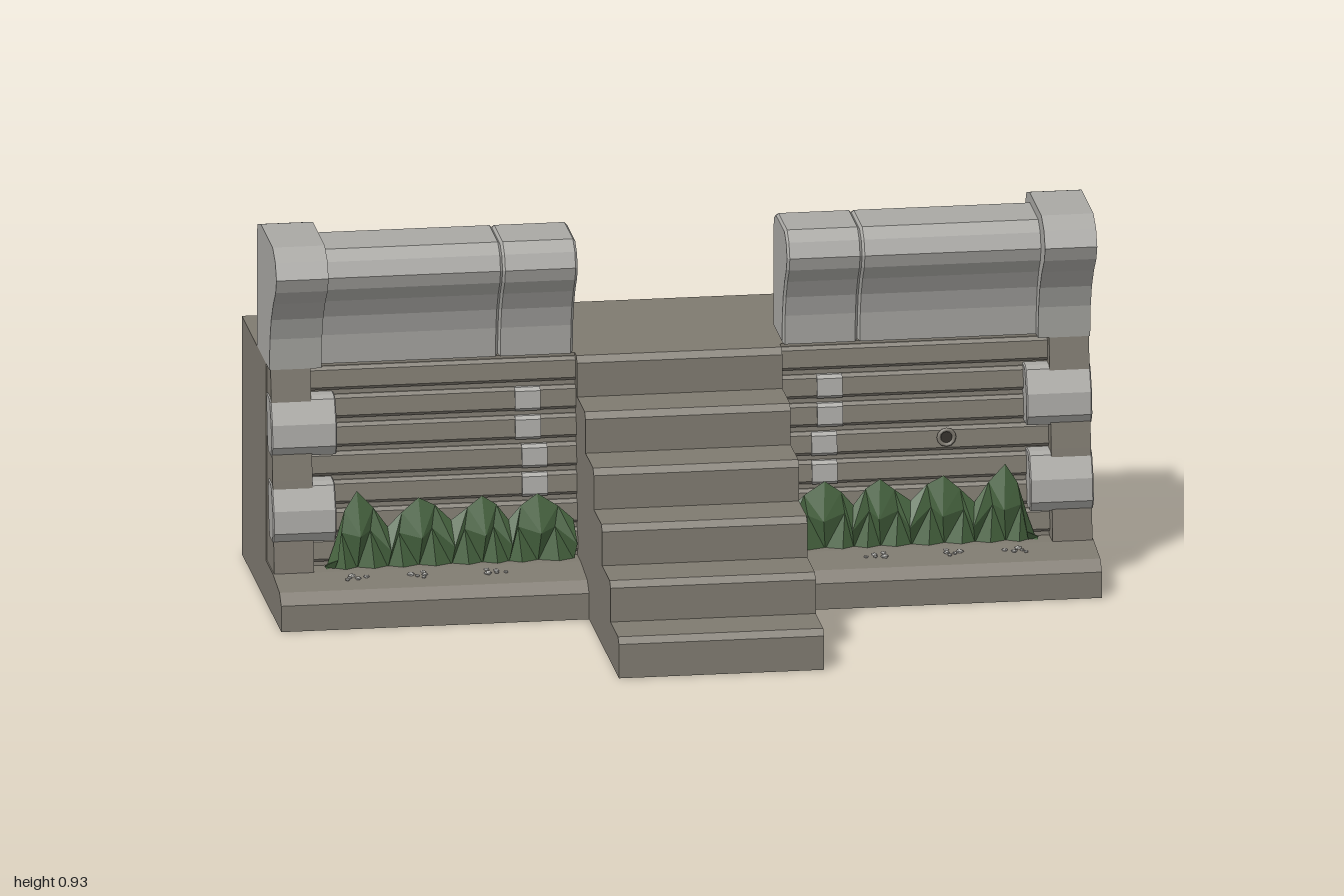
import * as THREE from 'three';

const mat = (name, color, side = THREE.FrontSide) => {
  const m = new THREE.MeshStandardMaterial({ color, side });
  m.name = name;
  return m;
};

export function createModel() {
  const stone = mat('taupe stone', 0x7f7a70);
  const pale = mat('pale stone', 0xa9a8a4);
  const green = mat('leaf green', 0x46633f, THREE.DoubleSide);
  const dark = mat('drain dark', 0x35322d);
  const model = new THREE.Group();
  model.name = 'gardenStairs';

  const add = (parent, name, geometry, material) => {
    const mesh = new THREE.Mesh(geometry, material);
    mesh.name = name;
    parent.add(mesh);
    return mesh;
  };

  // Extrude a [z, y] profile along x, between two x positions in either order
  const extrudeX = (pts, xa, xb, bevel = 0) => {
    const x0 = Math.min(xa, xb), x1 = Math.max(xa, xb);
    const shape = new THREE.Shape(pts.map(([z, y]) => new THREE.Vector2(-z, y)));
    const g = new THREE.ExtrudeGeometry(shape, {
      depth: x1 - x0 - 2 * bevel, bevelEnabled: bevel > 0, bevelThickness: bevel,
      bevelSize: bevel, bevelOffset: -bevel, bevelSegments: 1,
    });
    return g.rotateY(Math.PI / 2).translate(x0 + bevel, 0, 0);
  };

  // Terrace block behind the wall
  const back = -0.18;
  add(model, 'terrace', extrudeX([[-0.58, 0], [back, 0], [back, 0.6], [-0.58, 0.6]], -1, 1), stone);

  // Six steps with chamfered nosings
  const steps = [[back, 0]];
  for (let i = 0; i < 6; i++) {
    const z = 0.58 - i * 0.14, y = i * 0.1;
    steps.push([z, y], [z, y + 0.085], [z - 0.015, y + 0.1]);
  }
  steps.push([back, 0.6]);
  add(model, 'stairs', extrudeX(steps, -0.25, 0.25), stone);

  // Profiles
  const ledge = [[back, 0], [0.08, 0], [0.08, 0.065], [0.05, 0.09], [-0.06, 0.104], [back, 0.104]];
  const pillar = [[back, 0.1], [-0.06, 0.1], [-0.07, 0.2], [-0.085, 0.33], [-0.1, 0.45], [-0.12, 0.6], [back, 0.6]];
  const endCap = [[-0.33, 0.6], [-0.33, 0.885], [-0.315, 0.91], [-0.265, 0.925], [-0.065, 0.925], [-0.02, 0.9],
    [0, 0.86], [-0.015, 0.825], [-0.055, 0.785], [-0.09, 0.735], [-0.11, 0.68], [-0.12, 0.6]];
  const coping = endCap.map(([z, y]) => [-0.305 + (z + 0.33) * 0.712, 0.6 + (y - 0.6) * 0.923]);
  const lowQuoin = [[-0.07, 0.18], [-0.055, 0.205], [-0.06, 0.26], [-0.085, 0.315], [-0.1, 0.322],
    [-0.14, 0.322], [-0.143, 0.29], [-0.13, 0.2], [-0.115, 0.18]];
  const highQuoin = lowQuoin.map(([z, y]) => [z - 0.026, y + 0.209]);

  // Sloping wall face and its horizontal courses
  const wallZ = (y) => -0.105 - (y - 0.1) * 0.09;
  const course = (i, proud) => {
    const y0 = 0.115 + i * 0.07, y1 = y0 + 0.058, c = 0.008;
    return [[back, y0], [wallZ(y0) + proud - c, y0], [wallZ(y0) + proud, y0 + c],
      [wallZ(y1) + proud, y1 - c], [wallZ(y1) + proud - c, y1], [back, y1]];
  };

  // Leaf outline: [x, peak height]
  const leaves = [[0.262, 0.2], [0.3, 0.235], [0.35, 0.268], [0.39, 0.24], [0.42, 0.205], [0.45, 0.245],
    [0.485, 0.268], [0.52, 0.24], [0.56, 0.21], [0.6, 0.25], [0.64, 0.27], [0.68, 0.235], [0.715, 0.2],
    [0.75, 0.25], [0.79, 0.293], [0.82, 0.245], [0.845, 0.16], [0.862, 0.112]];

  // Folded sheet of foliage, three rows high
  const foliage = (s) => {
    const pos = [], index = [];
    leaves.forEach(([x, top], i) => {
      const fold = i % 2;
      const mid = 0.105 + (top - 0.105) * (fold ? 0.62 : 0.42);
      pos.push(s * x, 0.1, fold ? -0.072 : -0.09);
      pos.push(s * (x + (fold ? 0.008 : -0.006)), mid, fold ? -0.092 : -0.073);
      pos.push(s * x, top, -0.1);
      if (i === 0) return;
      const a = (i - 1) * 3, b = i * 3;
      for (let r = 0; r < 2; r++) {
        const quad = fold
          ? [a + r, b + r, b + r + 1, a + r, b + r + 1, a + r + 1]
          : [a + r, b + r, a + r + 1, b + r, b + r + 1, a + r + 1];
        if (s < 0) quad.reverse();
        index.push(...quad);
      }
    });
    const g = new THREE.BufferGeometry();
    g.setAttribute('position', new THREE.Float32BufferAttribute(pos, 3));
    g.setIndex(index);
    const flat = g.toNonIndexed();
    flat.computeVertexNormals();
    return flat;
  };

  for (const s of [1, -1]) {
    const side = new THREE.Group();
    side.name = s > 0 ? 'leftWall' : 'rightWall';
    model.add(side);

    add(side, 'ledge', extrudeX(ledge, s * 0.25, s), stone);
    add(side, 'pillar', extrudeX(pillar, s * 0.9, s * 0.997), stone);
    add(side, 'wallBacking', extrudeX([[back, 0.1], [wallZ(0.1) - 0.012, 0.1],
      [wallZ(0.6) - 0.012, 0.6], [back, 0.6]], s * 0.25, s * 0.9), stone);

    // Courses, with pale blocks set into the upper four
    for (let i = 0; i < 7; i++) {
      add(side, 'wallCourse', extrudeX(course(i, 0), s * 0.25, s * 0.9), stone);
      if (i < 2 || i > 5) continue;
      const x = i > 3 ? 0.337 : 0.322;
      add(side, 'paleBlock', extrudeX(course(i, 0.006), s * x, s * (x + 0.062)), pale);
    }

    // Coping stones and larger end stone
    add(side, 'innerCoping', extrudeX(coping, s * 0.255, s * 0.438, 0.006), pale);
    add(side, 'longCoping', extrudeX(coping, s * 0.438, s * 0.885, 0.006), pale);
    add(side, 'endCoping', extrudeX(endCap, s * 0.873, s), pale);

    // Quoins on the pillar
    add(side, 'lowerQuoin', extrudeX(lowQuoin, s * 0.845, s, 0.003), pale);
    add(side, 'upperQuoin', extrudeX(highQuoin, s * 0.84, s, 0.003), pale);

    add(side, 'foliage', foliage(s), green);

    // Pebble clusters on the ledge
    [0.81, 0.65, 0.465].forEach((cx, c) => {
      for (let k = 0; k < 5; k++) {
        const a = k * 2.4 + c, d = 0.009 + k * 0.006;
        const p = add(side, 'pebble', new THREE.IcosahedronGeometry(0.006 + (k % 3) * 0.002, 0), pale);
        p.position.set(s * (cx + Math.cos(a) * d), 0.1, -0.018 + Math.sin(a) * d * 0.7);
        p.scale.y = 0.6;
        p.rotation.y = a;
      }
    });
  }

  // Drain pipe in the left wall
  const drainZ = wallZ(0.36);
  add(model, 'drainRim', new THREE.TorusGeometry(0.019, 0.005, 6, 12), stone).position.set(0.65, 0.36, drainZ + 0.008);
  add(model, 'drainHole', new THREE.CylinderGeometry(0.018, 0.018, 0.02, 12).rotateX(Math.PI / 2), dark)
    .position.set(0.65, 0.36, drainZ - 0.004);

  return model;
}
